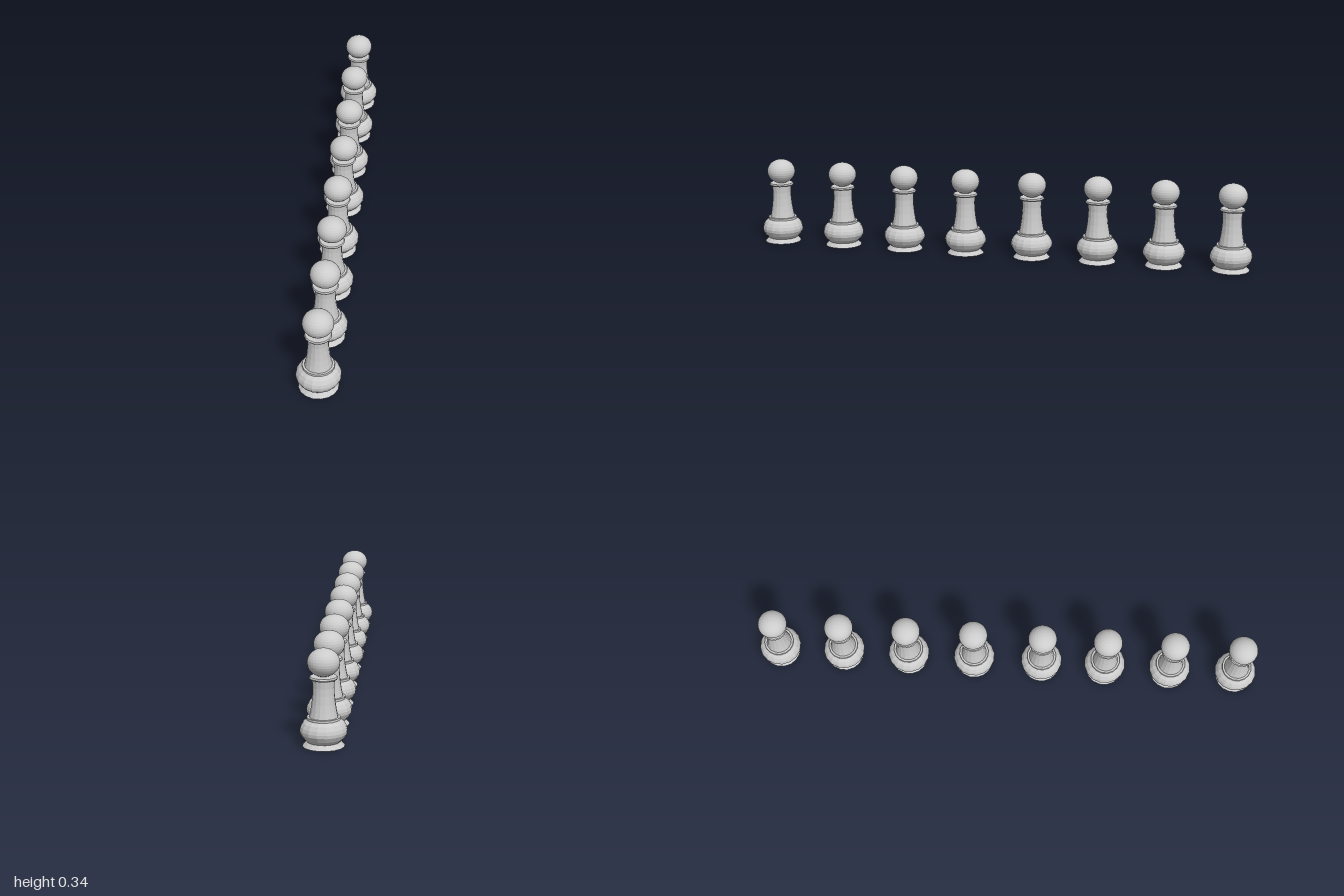
import * as THREE from 'three';

const SIDES = 16;
const material = new THREE.MeshStandardMaterial({ color: 0xcccccc, flatShading: true });

// Turned part from [radius, height] pairs, with a facet facing the front
function turned(name, profile) {
  const points = profile.map(([r, y]) => new THREE.Vector2(r, y));
  const geometry = new THREE.LatheGeometry(points, SIDES, Math.PI / SIDES);
  const mesh = new THREE.Mesh(geometry, material);
  mesh.name = name;
  return mesh;
}

function createPawn() {
  const pawn = new THREE.Group();

  // Flared foot, closed underneath
  pawn.add(turned('foot', [[0, 0], [0.073, 0], [0.058, 0.016]]));

  // Rounded bulge above the foot
  pawn.add(turned('bulge', [
    [0.058, 0.016], [0.072, 0.03], [0.081, 0.046], [0.082, 0.057],
    [0.079, 0.069], [0.071, 0.083], [0.058, 0.094],
  ]));

  // Lower collar
  pawn.add(turned('lowerCollar', [[0.058, 0.094], [0.058, 0.102], [0.049, 0.102]]));

  // Tapering stem
  pawn.add(turned('stem', [
    [0.05, 0.1], [0.045, 0.125], [0.041, 0.15], [0.038, 0.18], [0.037, 0.205], [0.039, 0.234],
  ]));

  // Upper collar, a thin bevelled disc
  pawn.add(turned('upperCollar', [
    [0.038, 0.232], [0.046, 0.233], [0.049, 0.238], [0.046, 0.243], [0, 0.243],
  ]));

  // Slightly squashed ball head
  const head = new THREE.Mesh(new THREE.SphereGeometry(0.056, 32, 16), material);
  head.name = 'head';
  head.scale.y = 0.875;
  head.position.y = 0.291;
  pawn.add(head);
  return pawn;
}

export function createModel() {
  const model = new THREE.Group();
  model.name = 'pawnRow';

  // Row of eight, spaced slightly unevenly
  const rowZ = [0.918, 0.654, 0.393, 0.138, -0.133, -0.397, -0.659, -0.918];
  rowZ.forEach((z, i) => {
    const pawn = createPawn();
    pawn.name = `pawn${i + 1}`;
    pawn.position.z = z;
    model.add(pawn);
  });
  return model;
}
